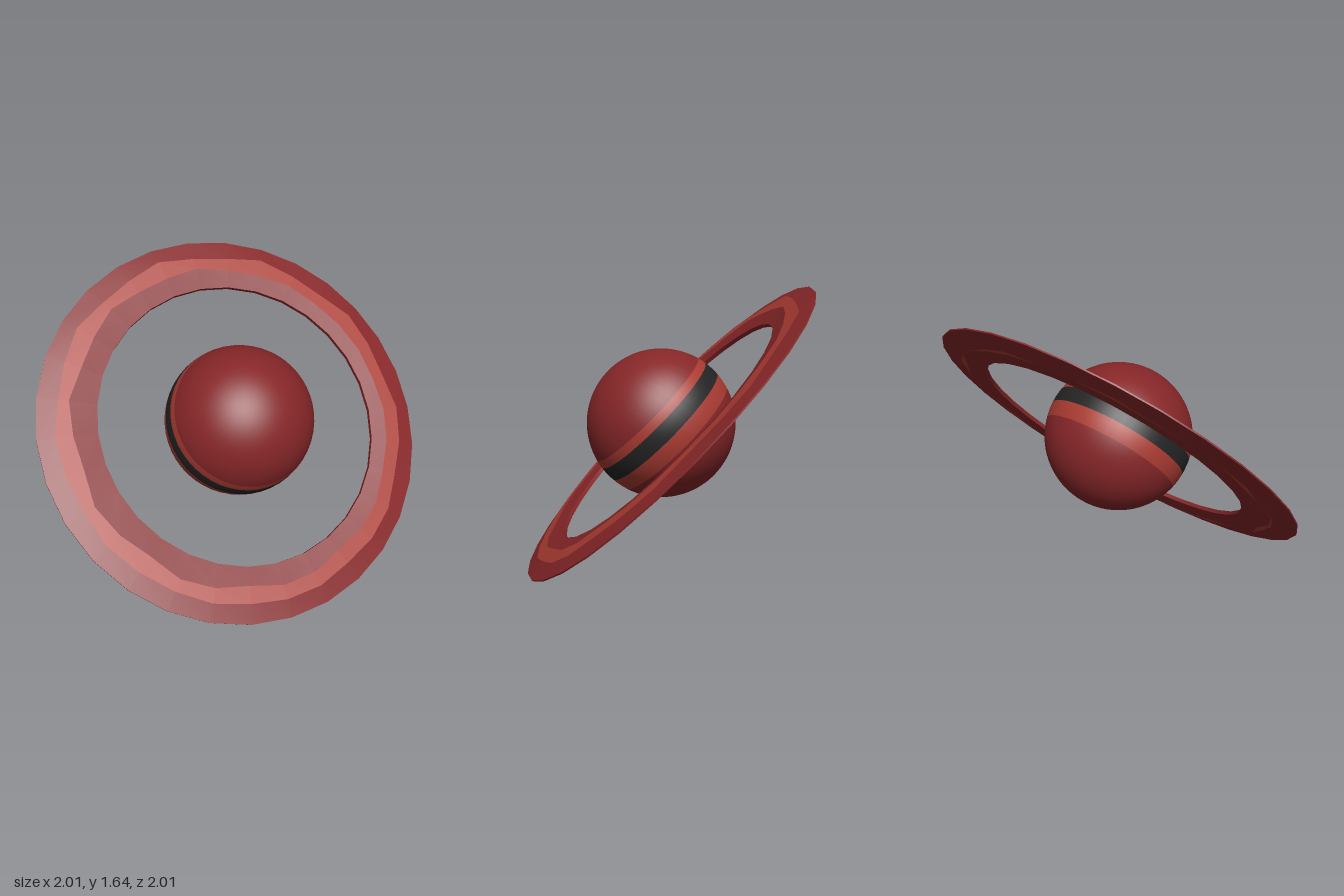
import * as THREE from 'three';

const mat = (name, color) => {
  const m = new THREE.MeshStandardMaterial({ color });
  m.name = name;
  return m;
};

export function createModel() {
  const deepRed = mat('deep red', 0x862628);
  const brightRed = mat('bright red', 0xa93b32);
  const black = mat('charcoal', 0x242424);

  const model = new THREE.Group();
  model.name = 'ringedPlanet';
  const tilt = new THREE.Quaternion().setFromUnitVectors(
    new THREE.Vector3(0, 1, 0), new THREE.Vector3(0.5, 0.7071, 0.5).normalize());

  // Planet: a ball cut into zones by height along its tilted axis
  const R = 0.435;
  const planet = new THREE.Group();
  planet.name = 'planet';
  planet.position.set(0.02, 0.853, 0.02);
  planet.quaternion.copy(tilt);
  model.add(planet);
  const zones = [
    ['upperCap', R, 0.118, deepRed, 18],
    ['upperStripe', 0.118, 0.068, brightRed, 2],
    ['equatorStripe', 0.068, -0.024, black, 3],
    ['lowerStripe', -0.024, -0.116, brightRed, 3],
    ['lowerCap', -0.116, -R, deepRed, 18],
  ];
  for (const [name, top, bottom, material, rows] of zones) {
    const t0 = Math.acos(top / R), t1 = Math.acos(bottom / R);
    const zone = new THREE.Mesh(
      new THREE.SphereGeometry(R, 48, rows, 0, Math.PI * 2, t0, t1 - t0), material);
    zone.name = name;
    planet.add(zone);
  }

  // Ring: a thin lens section swept round, with a wavering painted band
  const ring = new THREE.Group();
  ring.name = 'ring';
  ring.position.set(0, 0.82, 0);
  ring.quaternion.copy(tilt);
  model.add(ring);

  const N = 30;
  const waver = (i) => 0.012 * Math.sin(i * 2.1) + 0.008 * Math.sin(i * 4.4 + 1);
  const dash = (i) => 0.022 * Math.max(0.04, Math.sin(i * 1.7));
  const inner = (i) => 0.848 + 0.025 * Math.cos((i / N) * Math.PI * 2 + Math.PI / 4);
  // Section rows as [radius, height], running over the top and back underneath
  const rows = {
    innerTop: (i) => [inner(i), 0.012],
    bandIn: (i) => [0.965 + waver(i), 0.027],
    bandOut: (i) => [1.052 + waver(i + 0.6), 0.025],
    outerTop: () => [1.158, 0.004],
    outerLow: () => [1.158, -0.004],
    dashOut: (i) => [1.005 + waver(i) + dash(i), -0.026],
    dashIn: (i) => [1.005 + waver(i) - dash(i), -0.026],
    innerLow: (i) => [inner(i), -0.012],
  };

  const strip = (name, from, to, material) => {
    const pos = [], index = [];
    for (let i = 0; i < N; i++) {
      const a = (i / N) * Math.PI * 2;
      for (const row of [rows[from], rows[to]]) {
        const [r, y] = row(i);
        pos.push(r * Math.cos(a), y, r * Math.sin(a));
      }
      const p = i * 2, q = ((i + 1) % N) * 2;
      index.push(p, q, p + 1, q, q + 1, p + 1);
    }
    const geo = new THREE.BufferGeometry();
    geo.setAttribute('position', new THREE.Float32BufferAttribute(pos, 3));
    geo.setIndex(index);
    geo.computeVertexNormals();
    const mesh = new THREE.Mesh(geo, material);
    mesh.name = name;
    ring.add(mesh);
  };
  strip('ringTopInner', 'innerTop', 'bandIn', deepRed);
  strip('ringTopBand', 'bandIn', 'bandOut', brightRed);
  strip('ringTopOuter', 'bandOut', 'outerTop', deepRed);
  strip('ringRim', 'outerTop', 'outerLow', deepRed);
  strip('ringUnderOuter', 'outerLow', 'dashOut', deepRed);
  strip('ringUnderDashes', 'dashOut', 'dashIn', brightRed);
  strip('ringUnderInner', 'dashIn', 'innerLow', deepRed);
  strip('ringInnerEdge', 'innerLow', 'innerTop', deepRed);

  return model;
}
